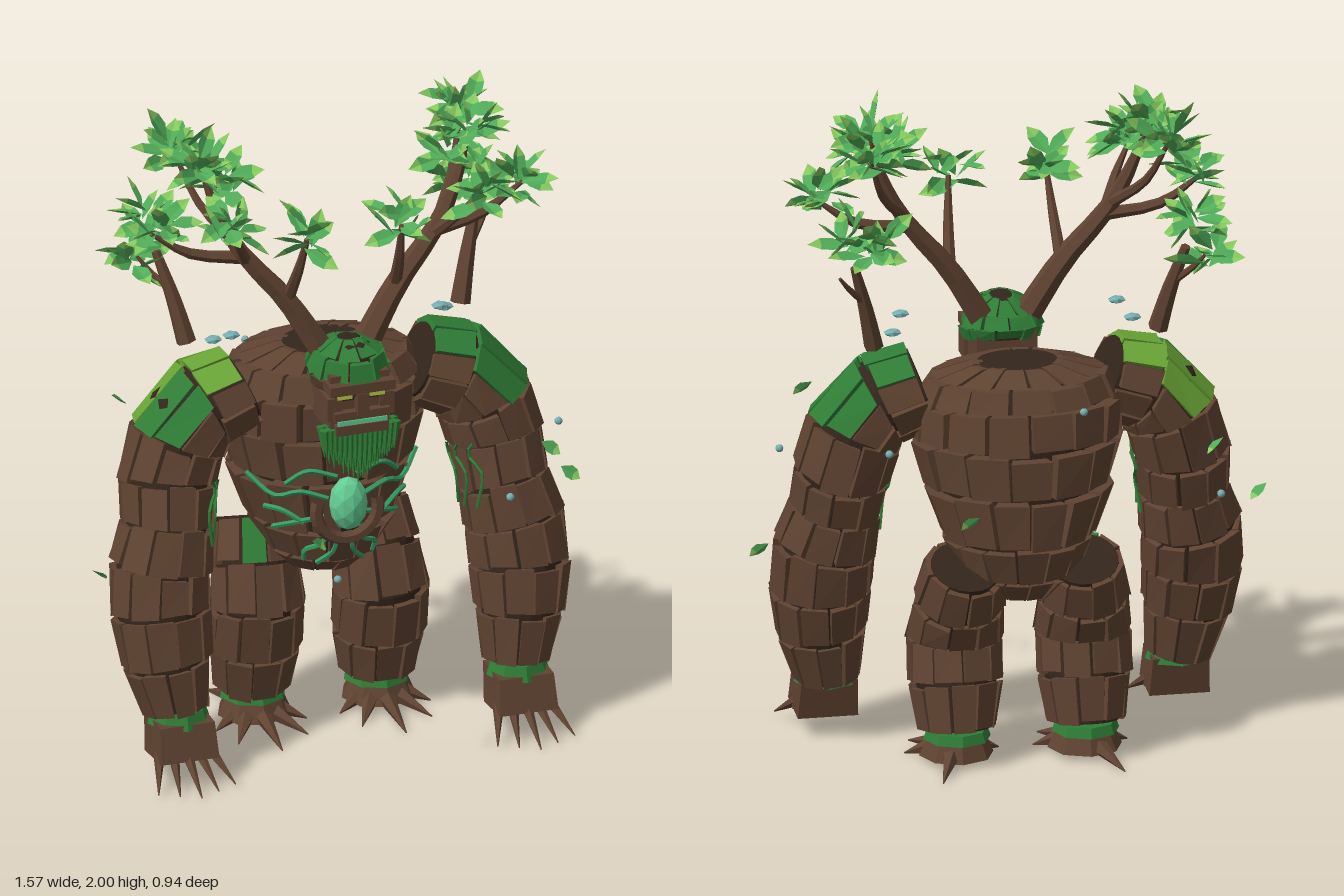
import * as THREE from 'three';
import { mergeGeometries } from 'three/addons/utils/BufferGeometryUtils.js';

const V = (x, y, z) => new THREE.Vector3(x, y, z);
const { lerp } = THREE.MathUtils;
let seed = 7;
const rnd = () => (seed = (seed * 16807) % 2147483647) / 2147483647;

const mat = (name, color, side = THREE.FrontSide) => {
  const m = new THREE.MeshStandardMaterial({ color, side });
  m.name = name;
  return m;
};

// Merge pieces into one faceted geometry
function facet(geos) {
  const g = mergeGeometries(geos.map(o => {
    const f = o.index ? o.toNonIndexed() : o;
    f.deleteAttribute('uv');
    f.deleteAttribute('normal');
    return f;
  }));
  g.computeVertexNormals();
  return g;
}

function add(parent, name, geos, material) {
  const m = new THREE.Mesh(facet([].concat(geos)), material);
  m.name = name;
  parent.add(m);
}

function warp(geo, rule) {
  const p = geo.attributes.position;
  for (let i = 0; i < p.count; i++) {
    const v = rule(p.getX(i), p.getY(i), p.getZ(i));
    p.setXYZ(i, v.x, v.y, v.z);
  }
  return geo;
}

// A limb maps (t along, x and z across) to space; points are [x, y, z, rx, rz]
function limb(pts) {
  const curve = new THREE.CatmullRomCurve3(pts.map(p => V(p[0], p[1], p[2])));
  const n = pts.length - 1;
  return (t, x, z) => {
    const u = Math.min(Math.max(t, 0), 1), i = Math.min(Math.floor(u * n), n - 1), k = u * n - i;
    const a = pts[i], b = pts[i + 1];
    const T = curve.getTangent(u);
    const N = V(0, 0, 1).addScaledVector(T, -T.z).normalize();
    const B = T.clone().cross(N);
    return curve.getPoint(u).addScaledVector(B, x * lerp(a[3], b[3], k))
      .addScaledVector(N, z * lerp(a[4] ?? a[3], b[4] ?? b[3], k));
  };
}

const tube = (at, sides, steps, k = 1) =>
  warp(new THREE.CylinderGeometry(1, 1, 1, sides, steps), (x, y, z) => at(y + 0.5, x * k, z * k));
const branch = pts => tube(limb(pts), 6, pts.length * 2);
const spike = (a, b, r) => tube(limb([[a.x, a.y, a.z, r], [b.x, b.y, b.z, 0.002]]), 5, 1);
const box = (x, y, z, w, h, d) => new THREE.BoxGeometry(w, h, d).translate(x, y, z);

// Dark core covered with rings of bark plates; pick chooses each plate's colour
function barkLimb(parent, name, at, rings, sides, core, pick) {
  add(parent, name + 'Core', tube(at, sides * 2, rings * 2, 0.88), core);
  const sets = new Map();
  for (let i = 0; i < rings; i++) for (let j = 0; j < sides; j++) {
    const a0 = (j + (i % 2) / 2 + 0.02 + rnd() * 0.06) / sides * Math.PI * 2;
    const a1 = (j + (i % 2) / 2 + 0.91 + rnd() * 0.07) / sides * Math.PI * 2;
    const t0 = (i + rnd() * 0.12) / rings, t1 = (i + 0.9 + rnd() * 0.12) / rings;
    const k0 = 1 + rnd() * 0.06, k1 = 1.02 + rnd() * 0.06;
    const g = warp(new THREE.BoxGeometry(1, 1, 1), (x, y, z) => {
      const a = lerp(a0, a1, x + 0.5), k = z > 0 ? (y > 0 ? k1 : k0) : 0.8;
      return at(lerp(t0, t1, y + 0.5), Math.sin(a) * k, Math.cos(a) * k);
    });
    const a = (a0 + a1) / 2, t = (t0 + t1) / 2;
    const out = at(t, Math.sin(a), Math.cos(a)).sub(at(t, 0, 0)).normalize();
    const m = pick(i, out);
    sets.set(m, [...(sets.get(m) ?? []), g]);
  }
  for (const [m, geos] of sets) add(parent, name + ' ' + m.name, geos, m);
}

// Folded leaf split into a body and a lighter tip
function leaf(bodies, tips, base, dir, length, width) {
  const d = dir.clone().normalize();
  const side = d.clone().cross(V(0.13, 1, 0.07)).normalize().applyAxisAngle(d, (rnd() - 0.5) * 2);
  const up = side.clone().cross(d);
  const P = (l, w, h = 0) => base.clone().addScaledVector(d, l * length)
    .addScaledVector(side, w * width).addScaledVector(up, h * width);
  const o = P(0, 0), l1 = P(0.4, -0.5, 0.1), r1 = P(0.4, 0.5, 0.1), l2 = P(0.7, -0.45, 0.05),
    r2 = P(0.7, 0.45, 0.05), c = P(0.65, 0, -0.12), tip = P(1, 0, -0.1);
  bodies.push(new THREE.BufferGeometry().setFromPoints([o, r1, c, o, c, l1, r1, r2, c, l1, c, l2]));
  tips.push(new THREE.BufferGeometry().setFromPoints([c, r2, tip, c, tip, l2]));
}

export function createModel() {
  seed = 7;
  const bark = mat('bark', 0x5f4331), core = mat('dark bark', 0x33251b), moss = mat('moss', 0x2f7d36),
    lime = mat('bright moss', 0x6aa636), green = mat('leaf', 0x50ab58, THREE.DoubleSide),
    pale = mat('leaf tip', 0x86c95f, THREE.DoubleSide), gem = mat('gem', 0x63cc94),
    vine = mat('vine', 0x359a62), stone = mat('stone', 0x76aeb0), eye = mat('eye', 0xb4cc40);
  const root = new THREE.Group();
  root.name = 'treeGolem';
  const group = name => { const g = new THREE.Group(); g.name = name; root.add(g); return g; };

  // Torso
  const body = group('torso');
  const torso = limb([[0, 0.51, -0.14, 0.11, 0.12], [0, 0.58, -0.14, 0.17, 0.19], [0, 0.68, -0.135, 0.215, 0.215],
    [0, 0.84, -0.13, 0.265, 0.225], [0, 0.98, -0.13, 0.295, 0.225], [0, 1.1, -0.125, 0.29, 0.215],
    [0, 1.175, -0.125, 0.25, 0.18], [0, 1.21, -0.125, 0.13, 0.1]]);
  barkLimb(body, 'torso', torso, 7, 14, core, () => bark);

  // Gem in its root cradle, with vines creeping over the belly
  add(body, 'chestGem', new THREE.IcosahedronGeometry(1, 1).scale(0.058, 0.085, 0.05).translate(0, 0.79, 0.125), gem);
  add(body, 'gemCradle', new THREE.TorusGeometry(0.095, 0.02, 6, 16, Math.PI * 1.2)
    .rotateZ(-Math.PI * 1.1).translate(0, 0.77, 0.115), bark);
  const trails = [[[0.2, 0.4], [0.5, 0.42], [0.8, 0.4], [1.15, 0.45]], [[0.25, 0.35], [0.6, 0.33], [0.95, 0.3]],
    [[0.2, 0.32], [0.3, 0.26], [0.55, 0.22], [0.6, 0.16]], [[0.1, 0.46], [0.4, 0.48], [0.65, 0.44]],
    [[0.5, 0.33], [0.75, 0.36], [1.0, 0.36]], [[0.1, 0.28], [0.15, 0.22], [0.4, 0.14]]];
  const vines = [];
  for (const s of [-1, 1]) for (const trail of trails)
    vines.push(new THREE.TubeGeometry(new THREE.CatmullRomCurve3(trail.map(([a, t]) =>
      torso(t, Math.sin(a * s) * 1.06, Math.cos(a) * 1.06))), 10, 0.008, 5));
  add(body, 'bellyVines', vines, vine);

  // Head
  const head = group('head');
  add(head, 'face', [box(0, 1.16, 0.13, 0.18, 0.18, 0.2), box(0, 1.215, 0.225, 0.2, 0.03, 0.07),
    box(0, 1.165, 0.24, 0.035, 0.07, 0.045), box(0, 1.13, 0.23, 0.17, 0.025, 0.05),
    box(0, 1.085, 0.22, 0.16, 0.03, 0.07),
    ...[-1, 1].map(s => box(s * 0.08, 1.15, 0.2, 0.045, 0.07, 0.08))], bark);
  add(head, 'eyeSockets', [-1, 1].map(s => box(s * 0.05, 1.186, 0.231, 0.06, 0.028, 0.008)), core);
  add(head, 'eyes', [-1, 1].map(s => box(s * 0.05, 1.187, 0.237, 0.045, 0.016, 0.008)), eye);
  add(head, 'mouth', box(0, 1.109, 0.252, 0.15, 0.014, 0.008), gem);
  barkLimb(head, 'mossCap', limb([[0, 1.195, 0.11, 0.11, 0.115], [0, 1.235, 0.12, 0.12, 0.14],
    [0, 1.29, 0.125, 0.1, 0.115], [0, 1.325, 0.12, 0.035, 0.04]]), 3, 9, core,
  (i, out) => (i === 0 && out.z > 0.3 ? bark : moss));
  const beard = [];
  for (let row = 0; row < 2; row++) for (let i = -7; i <= 7; i++) {
    const x = i * 0.0155, drop = 0.165 - Math.abs(i) * 0.011 - row * 0.02 + rnd() * 0.02;
    beard.push(spike(V(x, 1.085, 0.2 + row * 0.03), V(x * 0.95, 1.08 - drop, 0.215 + row * 0.02), 0.017));
  }
  add(head, 'beard', beard, moss);

  for (const s of [-1, 1]) {
    const tag = s > 0 ? 'left' : 'right';
    const side = pts => pts.map(([x, ...r]) => [x * s, ...r]);

    // Arm with mossy shoulder
    const arm = group(tag + 'Arm');
    const armAt = limb(side([[0.27, 1.13, -0.06, 0.125, 0.14], [0.42, 1.07, -0.05, 0.14, 0.15],
      [0.495, 0.91, -0.04, 0.14, 0.145], [0.515, 0.75, 0.0, 0.13, 0.14], [0.548, 0.58, 0.03, 0.15, 0.145],
      [0.545, 0.4, 0.07, 0.138, 0.13], [0.52, 0.2, 0.1, 0.095, 0.1]]));
    barkLimb(arm, 'arm', armAt, 8, 10, core, (i, out) =>
      i < 2 && out.x * s * 0.7 + out.y * 0.7 > 0.4
        ? (s < 0 && (i === 0 || out.z < -0.1) ? lime : moss) : bark);
    add(arm, 'armVines', [0, 1, 2].map(k => new THREE.TubeGeometry(new THREE.CatmullRomCurve3(
      [0.34, 0.4, 0.46, 0.54].map((t, i) => {
        const a = s * (0.7 + k * 0.4 + (i % 2) * 0.25);
        return armAt(t, Math.sin(a) * 1.06, Math.cos(a) * 1.06);
      })), 8, 0.005, 5)), moss);
    add(arm, 'wristMoss', new THREE.CylinderGeometry(0.08, 0.095, 0.045, 8).translate(s * 0.52, 0.197, 0.12), moss);
    add(arm, 'palm', warp(new THREE.BoxGeometry(0.175, 0.1, 0.15), (x, y, z) =>
      V(s * 0.52 + x * (y > 0 ? 0.95 : 1.02), 0.14 + y - (y < 0 ? z * -0.1 + 0.012 : 0),
        0.13 + z + (y > 0 ? 0 : 0.025))), bark);
    add(arm, 'fingers', [-2, -1, 0, 1, 2].map(i => spike(V(s * 0.52 + i * 0.036, 0.102, 0.19 - Math.abs(i) * 0.015),
      V(s * 0.52 + i * 0.059, 0.015 + Math.abs(i) * 0.004, 0.335 - Math.abs(i) * 0.022), 0.019)), bark);

    // Leg with clawed foot
    const leg = group(tag + 'Leg');
    const legAt = limb(side([[0.175, 0.62, -0.235, 0.115, 0.12], [0.185, 0.5, -0.18, 0.13, 0.13],
      [0.19, 0.38, -0.14, 0.138, 0.125], [0.19, 0.25, -0.165, 0.135, 0.125], [0.19, 0.11, -0.19, 0.11, 0.11]]));
    barkLimb(leg, 'leg', legAt, 4, 10, core, (i, out) =>
      s < 0 && i === 0 && out.z > 0.55 && out.x < 0.2 ? moss : bark);
    add(leg, 'ankleMoss', new THREE.CylinderGeometry(0.09, 0.1, 0.03, 8).translate(s * 0.19, 0.093, -0.18), moss);
    add(leg, 'foot', new THREE.CylinderGeometry(0.085, 0.11, 0.06, 8).translate(s * 0.19, 0.055, -0.17), bark);
    const toes = [-1.15, -0.6, 0, 0.6, 1.15].map(a => [a, 0.26 - Math.abs(a) * 0.075]);
    add(leg, 'toes', [...toes, [Math.PI - 0.4 * s, 0.23]].map(([a, r]) =>
      spike(V(s * 0.19 + Math.sin(a) * 0.065, 0.045, -0.17 + Math.cos(a) * 0.065),
        V(s * 0.19 + Math.sin(a) * r * 0.88, 0.01, -0.17 + Math.cos(a) * r), 0.028)), bark);

    // Antler tree and shoulder sapling
    const tree = group(tag + 'Antler');
    add(tree, 'branches', [
      [[0.06, 1.26, 0.08, 0.042], [0.17, 1.44, 0.06, 0.034], [0.3, 1.6, 0.04, 0.027], [0.37, 1.74, 0.02, 0.018],
        [0.41, 1.87, 0, 0.006]],
      [[0.165, 1.44, 0.06, 0.02], [0.155, 1.56, 0.13, 0.015], [0.145, 1.68, 0.18, 0.008]],
      [[0.28, 1.58, 0.04, 0.02], [0.45, 1.61, 0.02, 0.016], [0.57, 1.69, 0.02, 0.006]],
      [[0.29, 1.58, 0.05, 0.018], [0.34, 1.67, 0.13, 0.013], [0.39, 1.75, 0.18, 0.006]],
      [[0.31, 1.62, 0.03, 0.018], [0.39, 1.72, -0.08, 0.013], [0.44, 1.86, -0.16, 0.006]],
      [[0.42, 1.27, -0.1, 0.03], [0.45, 1.4, -0.13, 0.023], [0.49, 1.54, -0.17, 0.014]],
      [[0.455, 1.42, -0.135, 0.012], [0.51, 1.48, -0.18, 0.009], [0.54, 1.52, -0.2, 0.005]],
    ].map(p => branch(side(p))), bark);
    const bodies = [], tips = [], jit = () => (rnd() - 0.5) * 0.06;
    const clusters = [[0.41, 1.865, 0, 20], [0.34, 1.82, 0.02, 12], [0.55, 1.69, 0.02, 16], [0.145, 1.69, 0.19, 11],
      [0.39, 1.75, 0.19, 15], [0.43, 1.86, -0.16, 18], s > 0 ? [0.44, 1.6, -0.19, 13] : [0.56, 1.5, -0.2, 12],
      [0.5, 1.63, -0.19, 14]];
    for (const [x, y, z, n] of clusters) for (let i = 0; i < n; i++) {
      const a = i * 2.4 + rnd(), h = -0.4 + 1.33 * (i + 0.5) / n, q = Math.sqrt(1 - h * h);
      leaf(bodies, tips, V(x * s + jit(), y + jit(), z + jit()), V(Math.cos(a) * q, h, Math.sin(a) * q),
        0.1 + rnd() * 0.03, 0.05);
    }
    add(tree, 'leaves', bodies, green);
    add(tree, 'leafTips', tips, pale);
  }

  // Drifting leaves, pebbles and hovering stones
  const drift = group('drifting');
  const bodies = [], tips = [], pebbles = [];
  for (const s of [-1, 1]) {
    for (const [x, y, z] of [[0.2, 0.83, -0.46], [0.54, 0.99, 0.35], [0.76, 0.67, -0.12]])
      leaf(bodies, tips, V(x * s - 0.025, y + 0.02, z * s), V(0.8, -0.6, 0.3 * s), 0.07, 0.04);
    for (const [x, y, z] of [[0.32, 1.325, 0.01], [0.355, 1.29, -0.05]])
      pebbles.push(new THREE.IcosahedronGeometry(1, 0).scale(0.028, 0.012, 0.022).translate(x * s, y, z));
  }
  for (const [x, y, z] of [[0.67, 0.92, 0.05], [0.41, 0.86, 0.38], [-0.6, 0.76, -0.14], [-0.15, 0.72, 0.47],
    [-0.15, 1.12, -0.365], [0.41, 1.0, -0.285]])
    pebbles.push(new THREE.IcosahedronGeometry(0.012, 1).translate(x, y, z));
  add(drift, 'driftingLeaves', bodies, green);
  add(drift, 'driftingLeafTips', tips, pale);
  add(drift, 'stones', pebbles, stone);
  return root;
}
